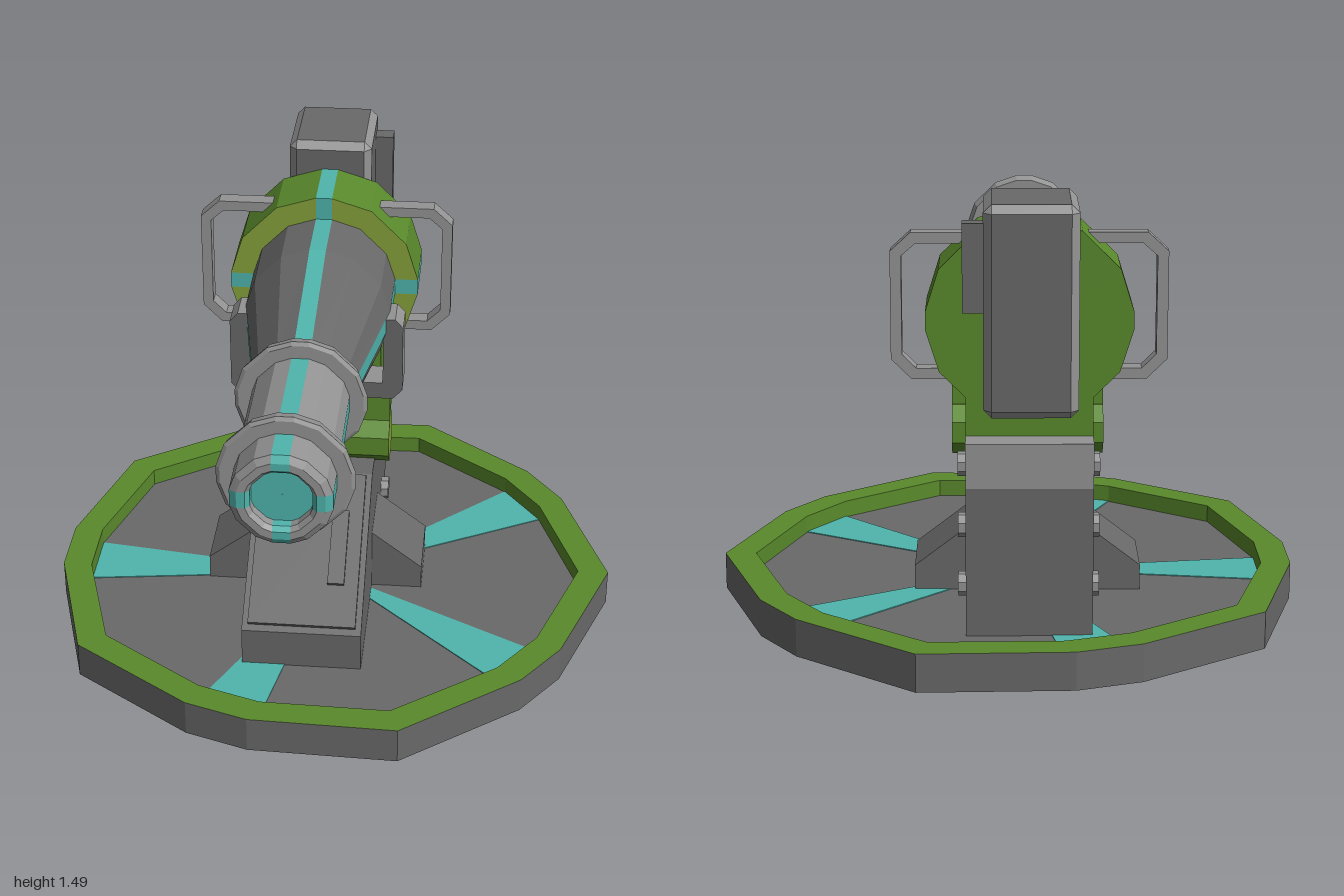
import * as THREE from 'three';
import { ConvexGeometry } from 'three/addons/geometries/ConvexGeometry.js';

const mat = (name, color) => Object.assign(new THREE.MeshStandardMaterial({ color }), { name });

// Joins closed loops of points with flat faces; pick(segment, side) gives the material index.
function loft(loops, pick) {
  const buckets = [];
  for (let i = 0; i < loops.length - 1; i++) {
    const f = loops[i], b = loops[i + 1], n = f.length;
    for (let j = 0; j < n; j++) {
      const k = (j + 1) % n;
      const list = (buckets[pick(i, j)] ??= []);
      for (const p of [b[j], b[k], f[k], b[j], f[k], f[j]]) list.push(p.x, p.y, p.z);
    }
  }
  return grouped(buckets);
}

// Turns one position list per material into a geometry with groups
function grouped(buckets) {
  const geo = new THREE.BufferGeometry();
  const all = [];
  buckets.forEach((list, m) => {
    geo.addGroup(all.length / 3, list.length / 3, m);
    for (const v of list) all.push(v);
  });
  geo.setAttribute('position', new THREE.Float32BufferAttribute(all, 3));
  geo.computeVertexNormals();
  return geo;
}

// Box with chamfered edges: group 0 is the flat faces, group 1 the chamfers
function chamferBox(w, h, d, c) {
  const pts = [];
  for (const x of [-1, 1]) for (const y of [-1, 1]) for (const z of [-1, 1]) {
    const [a, b, e] = [w / 2, h / 2, d / 2];
    pts.push(new THREE.Vector3(x * a, y * (b - c), z * (e - c)),
      new THREE.Vector3(x * (a - c), y * b, z * (e - c)),
      new THREE.Vector3(x * (a - c), y * (b - c), z * e));
  }
  const src = new ConvexGeometry(pts), p = src.attributes.position.array, n = src.attributes.normal.array;
  const buckets = [[], []];
  for (let i = 0; i < p.length; i += 9) {
    const flat = Math.max(Math.abs(n[i]), Math.abs(n[i + 1]), Math.abs(n[i + 2])) > 0.99;
    buckets[flat ? 0 : 1].push(...p.slice(i, i + 9));
  }
  return grouped(buckets);
}

const shapeOf = pts => new THREE.Shape(pts.map(([x, y]) => new THREE.Vector2(x, y)));
const extrude = (pts, depth) =>
  new THREE.ExtrudeGeometry(shapeOf(pts), { depth, bevelEnabled: false }).translate(0, 0, -depth / 2);
// Side profile of [z, y] points, given a width along x
const sideProfile = (pts, width) => extrude(pts, width).rotateY(-Math.PI / 2);

export function createModel() {
  const dark = mat('dark grey', 0x696969), light = mat('light grey', 0x949494);
  const green = mat('green', 0x5a8a2c), olive = mat('olive', 0x86a23a);
  const teal = mat('teal', 0x4fb5ad);
  const floorMat = mat('floor grey', 0x696969);
  floorMat.side = THREE.DoubleSide;

  const model = new THREE.Group();
  model.name = 'turret';
  const add = (parent, name, geo, material, x = 0, y = 0, z = 0) => {
    const m = new THREE.Mesh(geo, material);
    m.name = name;
    m.position.set(x, y, z);
    parent.add(m);
    return m;
  };

  // Base: fifteen-sided rim, sunken floor and five radial stripes
  const base = new THREE.Group();
  base.name = 'base';
  base.position.set(-0.025, 0, -0.07);
  model.add(base);
  const baseLoop = (tip, side, half, y) => {
    const pts = [];
    for (let k = 0; k < 5; k++) {
      const s = Math.asin(half / side);
      for (const [a, r] of [[0, tip], [Math.PI / 5 - s, side], [Math.PI / 5 + s, side]]) {
        const t = a + k * Math.PI * 0.4;
        pts.push(new THREE.Vector3(r * Math.cos(t), y, -r * Math.sin(t)));
      }
    }
    return pts;
  };
  const outer = y => baseLoop(0.985, 0.941, 0.11, y), inner = y => baseLoop(0.88, 0.842, 0.11, y);
  const rimLoops = [outer(0.125), outer(0), inner(0), inner(0.125), outer(0.125)];
  add(base, 'rim', loft(rimLoops, i => (i < 2 ? 0 : 1)), [dark, green]);
  const floorY = 0.065;
  const floor = new THREE.ShapeGeometry(shapeOf(inner(0).map(p => [p.x, -p.z])));
  add(base, 'floor', floor.rotateX(-Math.PI / 2), floorMat, 0, floorY, 0);
  for (let k = 0; k < 5; k++) {
    const stripe = extrude([[0.1, -0.013], [0.834, -0.11], [0.834, 0.11], [0.1, 0.013]], 0.006);
    stripe.rotateX(-Math.PI / 2).rotateY(Math.PI / 5 + k * Math.PI * 0.4);
    add(base, 'floorStripe', stripe, teal, 0, floorY, 0);
  }

  // Everything above the base shares one centre line
  const gun = new THREE.Group();
  gun.name = 'gun';
  gun.position.x = -0.07;
  model.add(gun);

  // Stand with sloping front, side feet and bolts
  add(gun, 'stand', sideProfile([[-0.7, floorY], [0.48, floorY], [0.48, 0.2], [0, 0.535],
    [-0.27, 0.535], [-0.27, 0.55], [-0.7, 0.55]], 0.4), dark);
  add(gun, 'standCap', new THREE.BoxGeometry(0.4, 0.145, 0.43), light, 0, 0.6225, -0.485);
  add(gun, 'sideFeet', extrude([[-0.375, floorY], [0.375, floorY], [0.375, 0.15], [0.2, 0.285],
    [-0.2, 0.285], [-0.375, 0.15]], 0.26), dark, 0, 0, -0.14);
  const slopePlate = (t0, t1, lo, hi, width) => sideProfile([[t0, lo], [t0, hi], [t1, hi], [t1, lo]]
    .map(([t, o]) => [0.48 * (1 - t) + 0.573 * o, 0.2 + 0.335 * t + 0.82 * o]).reverse(), width);
  add(gun, 'slopePanel', slopePlate(0.04, 0.98, -0.005, 0.018, 0.36), dark);
  add(gun, 'slopeLatch', slopePlate(0.29, 0.74, 0.01, 0.034, 0.056), dark, 0.105);
  for (const side of [-1, 1]) for (const y of [0.165, 0.365, 0.57]) {
    const bolt = new THREE.CylinderGeometry(0.04, 0.04, 0.04, 8).toNonIndexed();
    bolt.rotateY(Math.PI / 8).rotateZ(Math.PI / 2).computeVertexNormals();
    add(gun, 'bolt', bolt, light, side * 0.207, y, -0.49);
  }

  // Tilting axle, neck and yoke
  const axle = new THREE.CylinderGeometry(0.09, 0.09, 0.5, 8).toNonIndexed();
  axle.rotateY(Math.PI / 8).rotateZ(Math.PI / 2).computeVertexNormals();
  add(gun, 'axle', axle, [green, olive, olive], 0, 0.6, -0.155);
  add(gun, 'neck', new THREE.BoxGeometry(0.5, 0.17, 0.065), green, 0, 0.72, -0.15);
  add(gun, 'yoke', extrude([[-0.26, 0.785], [0.26, 0.785], [0.292, 0.82], [0.292, 1.06], [0.265, 1.09],
    [0.225, 1.09], [0.225, 0.845], [-0.225, 0.845], [-0.225, 1.09], [-0.265, 1.09], [-0.292, 1.06],
    [-0.292, 0.82]], 0.115), [dark, light], 0, 0, -0.148);
  add(gun, 'collarFoot', new THREE.BoxGeometry(0.4, 0.16, 0.233), green, 0, 0.77, -0.4925);

  // Barrel parts: twelve-sided sections whose four main corners are cut to narrow stripes
  const axisY = 1.065;
  const section = (z, r) => {
    const a = Math.min(Math.asin(Math.min(1, 0.0275 / r)), 0.3), pts = [];
    for (let q = 0; q < 4; q++) for (const t of [-a, a, Math.PI / 6, Math.PI / 3]) {
      const s = t + q * Math.PI / 2;
      pts.push(new THREE.Vector3(r * Math.cos(s), r * Math.sin(s), z));
    }
    return pts;
  };
  // profile: [z, radius] from the front inwards edge round to the back
  const turned = (name, profile, mats, pick) =>
    add(gun, name, loft(profile.map(([z, r]) => section(z, r)), pick), mats, 0, axisY, 0);
  const striped = (i, j) => (j % 4 === 0 ? 1 : 0);

  turned('muzzleDisc', [[0.955, 0.001], [0.955, 0.1]], [teal], () => 0);
  turned('barrelTube', [[0.95, 0.097], [0.985, 0.097], [1, 0.11], [1, 0.135], [0.985, 0.157], [0.37, 0.157]],
    [light, teal], striped);
  for (const z of [0.87, 0.42])
    turned('barrelRing', [[z, 0.14], [z, 0.2], [z - 0.008, 0.212], [z - 0.05, 0.2], [z - 0.05, 0.14]],
      [light], () => 0);
  turned('barrelBody', [[0.38, 0.14], [0.38, 0.157], [-0.15, 0.245], [-0.38, 0.247]], [dark, teal], striped);
  turned('collar', [[-0.377, 0.2], [-0.377, 0.325], [-0.61, 0.325], [-0.61, 0.001]], [green, teal, olive],
    (i, j) => (j % 4 === 0 && i < 2 ? 1 : i === 0 ? 2 : 0));

  // Grab handles on both sides of the collar
  const handle = [[0.15, 1.325], [0.37, 1.325], [0.435, 1.265], [0.435, 0.92], [0.37, 0.855], [0.15, 0.855],
    [0.15, 0.89], [0.355, 0.89], [0.4, 0.935], [0.4, 1.25], [0.355, 1.29], [0.15, 1.29]];
  for (const side of [-1, 1])
    add(gun, side > 0 ? 'leftHandle' : 'rightHandle',
      extrude(handle.map(([x, y]) => [side * x, y]), 0.055), light, 0, 0, -0.485);

  // Rear housing with a small side box
  add(gun, 'rearHousing', chamferBox(0.285, 0.645, 0.335, 0.025), [dark, light], 0, 1.1625, -0.7775);
  add(gun, 'sideBox', new THREE.BoxGeometry(0.08, 0.27, 0.06), dark, 0.165, 1.287, -0.852);

  return model;
}
